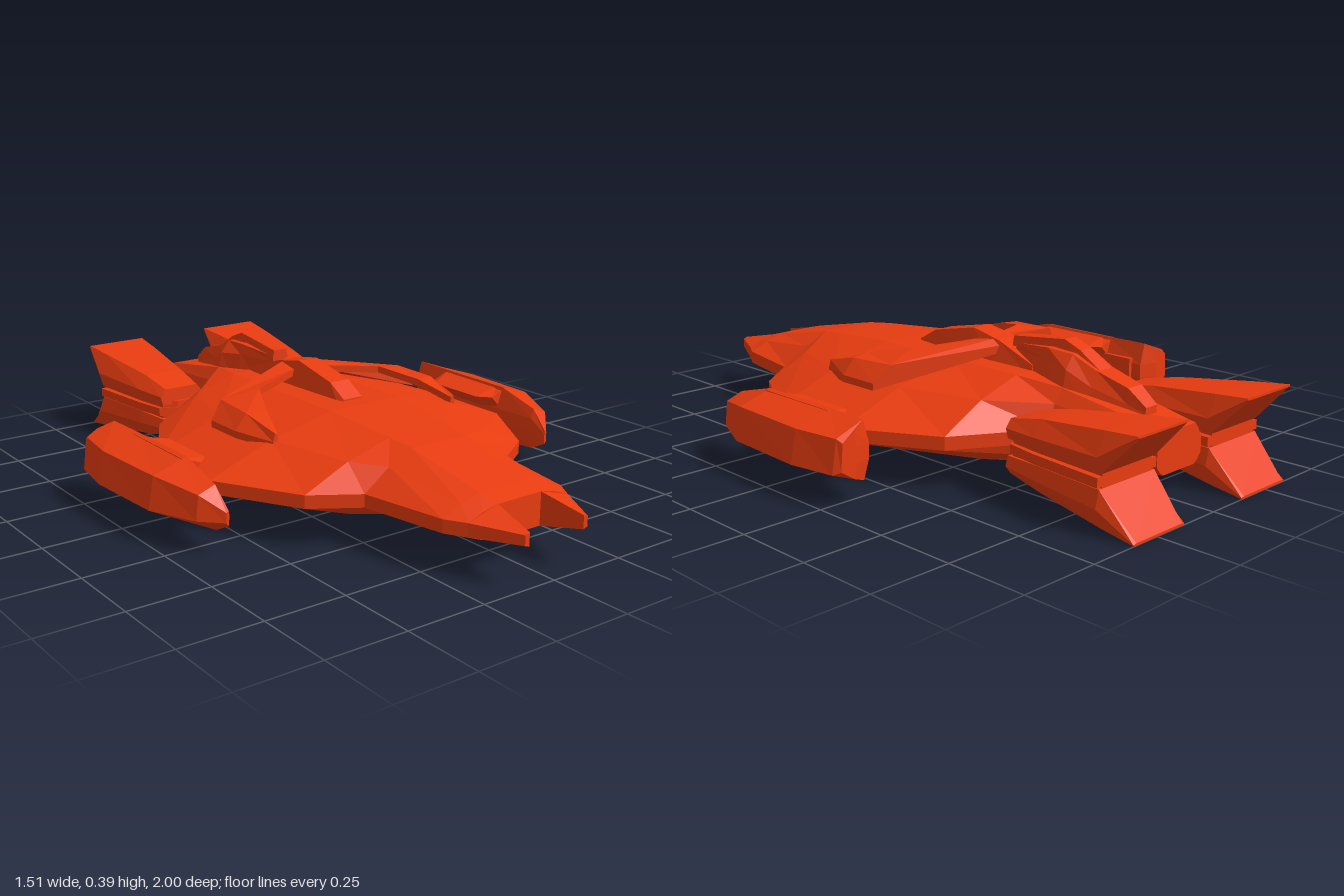
import * as THREE from 'three';

const paint = new THREE.MeshStandardMaterial({ color: 0xe83c10, flatShading: true });

// Skin closed rings of [x, y, z]; rings run counter-clockwise seen along the loft direction.
function loft(name, rings, side = 1) {
  const rs = side > 0 ? rings : rings.map(r => r.map(([x, y, z]) => [-x, y, z]).reverse());
  const pos = [];
  const tri = (...pts) => pts.forEach(p => pos.push(...p));
  for (let i = 0; i < rs.length - 1; i++) {
    const n = rs[i].length;
    for (let j = 0; j < n; j++) {
      const k = (j + 1) % n;
      tri(rs[i][j], rs[i + 1][j], rs[i][k]);
      tri(rs[i + 1][j], rs[i + 1][k], rs[i][k]);
    }
  }
  const a = rs[0], b = rs[rs.length - 1];
  for (let j = 1; j < a.length - 1; j++) {
    tri(a[0], a[j], a[j + 1]);
    tri(b[0], b[j + 1], b[j]);
  }
  const geo = new THREE.BufferGeometry();
  geo.setAttribute('position', new THREE.Float32BufferAttribute(pos, 3));
  geo.computeVertexNormals();
  const mesh = new THREE.Mesh(geo, paint);
  mesh.name = name;
  return mesh;
}

// Flat ring at depth z, and a ring mirrored from its right half (bottom to top).
const ring = (z, pts) => pts.map(([x, y]) => [x, y, z]);
const symRing = (z, half) => ring(z, [...half, ...half.map(([x, y]) => [-x, y]).reverse()]);

function box(name, w, h, d, x, y, z) {
  const mesh = new THREE.Mesh(new THREE.BoxGeometry(w, h, d), paint);
  mesh.position.set(x, y, z);
  mesh.name = name;
  return mesh;
}

// Saucer hull: depth, half width, top, bottom, half width of the flat crown
function hull() {
  const stations = [
    [0.86, 0.185, 0.19, 0.09, 0.085], [0.80, 0.22, 0.205, 0.09, 0.09],
    [0.53, 0.27, 0.26, 0.06, 0.10], [0.44, 0.41, 0.27, 0.045, 0.11],
    [0.18, 0.56, 0.29, 0.03, 0.13], [-0.12, 0.56, 0.29, 0.03, 0.13],
    [-0.38, 0.41, 0.285, 0.03, 0.12], [-0.53, 0.15, 0.27, 0.045, 0.09],
    [-0.88, 0.10, 0.21, 0.09, 0.07],
  ];
  return loft('hull', stations.map(([z, w, top, bot, a]) => {
    const m = (a + w) / 2;
    return symRing(z, [
      [a, bot], [m, 0.12 + (bot - 0.12) * 0.65], [w, 0.12],
      [w, 0.16], [m, 0.16 + (top - 0.16) * 0.62], [a, top],
    ]);
  }));
}

// Forked nose prong
const prong = s => loft('noseProng', [
  ring(1.0, [[0.1, 0.12], [0.115, 0.125], [0.115, 0.155], [0.1, 0.16]]),
  ring(0.86, [[0.08, 0.09], [0.185, 0.12], [0.185, 0.16], [0.08, 0.19]]),
], s);

// Cockpit wedge on the crown
const cockpit = () => loft('cockpit', [
  [0.12, 0.05, 0.035, 0.295], [0.05, 0.055, 0.035, 0.335], [-0.12, 0.065, 0.035, 0.37],
  [-0.23, 0.07, 0.04, 0.35], [-0.38, 0.06, 0.05, 0.30],
].map(([z, w, t, y]) => symRing(z, [[w, 0.26], [t, y]])));

// Dorsal tower with a narrow ridge cap
const tower = () => loft('dorsalTower', [
  [-0.29, 0.03, 0.025, 0.33, 0.35], [-0.44, 0.075, 0.05, 0.33, 0.365],
  [-0.53, 0.10, 0.045, 0.32, 0.36], [-0.61, 0.075, 0.035, 0.28, 0.325],
  [-0.72, 0.045, 0.03, 0.25, 0.295], [-0.78, 0.03, 0.025, 0.23, 0.25],
].map(([z, w, t, ym, y]) => symRing(z, [[w, 0.2], [w * 0.75, ym], [t, y]])));

const towerCap = () => loft('towerCap', [
  [-0.28, 0.34, 0.37], [-0.48, 0.35, 0.393], [-0.54, 0.34, 0.37], [-0.62, 0.30, 0.32],
].map(([z, b, t]) => symRing(z, [[0.03, b], [0.024, t]])));

// Swept arm: inner edge, crest and drooping outer edge at each section
const arm = s => loft('sweptArm', [
  [[0.04, 0.34, -0.14], [0.04, 0.35, -0.21], [0.04, 0.335, -0.24]],
  [[0.235, 0.325, -0.05], [0.35, 0.302, -0.09], [0.40, 0.25, -0.065]],
  [[0.295, 0.30, 0.08], [0.36, 0.297, 0.07], [0.40, 0.25, 0.07]],
  [[0.335, 0.26, 0.20], [0.345, 0.265, 0.20], [0.352, 0.24, 0.20]],
].map(top => [
  ...top,
  ...top.slice().reverse().map(([x, y, z]) => [x, y - 0.022, z]),
]), s);

// Side pod: depth, outer x, inner x, top, bottom, upper and lower outer edge heights
function pod(s) {
  const g = new THREE.Group();
  g.name = 'sidePod';
  g.add(loft('podShell', [
    [0.36, 0.615, 0.605, 0.135, 0.09, 0.13, 0.10], [0.30, 0.675, 0.60, 0.195, 0.06, 0.175, 0.10],
    [0.15, 0.74, 0.59, 0.235, 0.05, 0.20, 0.10], [-0.13, 0.755, 0.59, 0.235, 0.05, 0.20, 0.10],
    [-0.28, 0.73, 0.60, 0.235, 0.06, 0.20, 0.10], [-0.30, 0.715, 0.66, 0.215, 0.08, 0.19, 0.11],
  ].map(([z, xo, xi, t, b, u, l]) => ring(z, [
    [xo, l], [xo - (xo - xi) * 0.12, u], [xi + (xo - xi) * 0.15, t],
    [xi, 0.165 < t ? 0.165 : t - 0.01], [xi, 0.12], [xi + (xo - xi) * 0.15, b],
  ])), s));
  // jaws gripping above and below the hull rim
  const jaw = (name, flip) => loft(name, [[0.15, 0.565], [0.11, 0.53], [-0.10, 0.53], [-0.14, 0.565]]
    .map(([z, x]) => {
      const p = [[x, 0.207], [x + 0.035, 0.17], [0.63, 0.165], [0.63, 0.232]];
      return ring(z, flip ? p.map(([px, y]) => [px, 0.285 - y]).reverse() : p);
    }), s);
  g.add(jaw('upperJaw', false), jaw('lowerJaw', true));
  g.add(box('podRail', 0.04, 0.08, 0.13, s * 0.605, 0.142, -0.18));
  return g;
}

// Engine nacelle: two flared shells around a ribbed core
function engine(s) {
  const g = new THREE.Group();
  g.name = 'engine';
  const c = 0.24;
  // depth, base half width, top half width, base, shoulder, top
  const upper = [
    [-0.53, 0.08, 0.06, 0.17, 0.20, 0.225], [-0.65, 0.10, 0.068, 0.165, 0.205, 0.25],
    [-0.89, 0.128, 0.095, 0.165, 0.215, 0.279], [-1.0, 0.107, 0.105, 0.283, 0.286, 0.29],
  ];
  const shell = (name, map) => loft(name, upper.map(([z, w, t, y0, y1, y2]) => {
    const p = [[w * 0.9, y0], [w, y1], [t, y2], [-t, y2], [-w, y1], [-w * 0.9, y0]];
    const r = p.map(([x, y]) => [c + x, map(y)]);
    return ring(z, map(1) < 0 ? r.reverse() : r);
  }), s);
  g.add(shell('upperShell', y => y), shell('lowerShell', y => 0.29 - y));
  const core = (name, y0, y1, k) => loft(name,
    [[-0.52, 0.025], [-0.545, 0.08], [-0.65, 0.1], [-0.89, 0.125]].map(([z, w]) => ring(z, [
      [c - w * k, y0], [c + w * k, y0], [c + w * k, y1], [c - w * k, y1]])), s);
  g.add(core('engineCore', 0.11, 0.18, 0.82), core('engineRib', 0.13, 0.158, 0.98));
  // pylon to the tail
  g.add(box('enginePylon', 0.1, 0.05, 0.26, s * 0.12, 0.145, -0.72));
  return g;
}

export function createModel() {
  const model = new THREE.Group();
  model.name = 'spacecraft';
  model.add(hull(), cockpit(), tower(), towerCap());
  for (const s of [1, -1]) model.add(prong(s), arm(s), pod(s), engine(s));
  return model;
}
